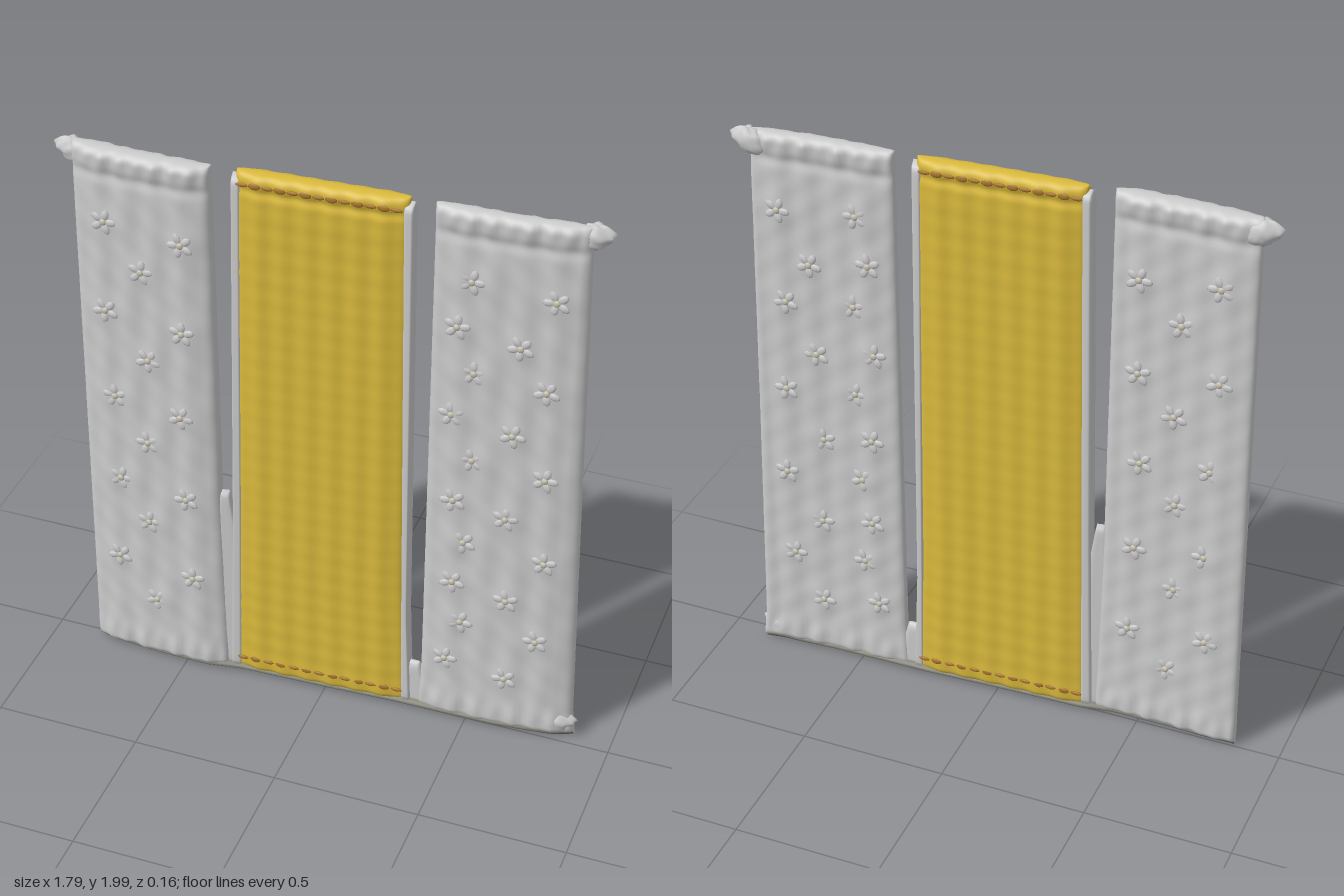
import * as THREE from 'three';
import { mergeVertices, mergeGeometries } from 'three/addons/utils/BufferGeometryUtils.js';

const GREY = 0xcccccc, GOLD = 0xd9b93c, BRONZE = 0xa8752c, DARK = 0x77776a, CREAM = 0xc9c2ac;
const mat = (color) => new THREE.MeshStandardMaterial({ color });
const lerp = THREE.MathUtils.lerp;
const bell = (d, s) => Math.exp(-(d * d) / (s * s));

// Piecewise-linear lookup through [position, value] pairs
function along(pts, p) {
  for (let i = 1; i < pts.length; i++) {
    if (p <= pts[i][0] || i === pts.length - 1) {
      const [a, va] = pts[i - 1], [b, vb] = pts[i];
      return lerp(va, vb, THREE.MathUtils.clamp((p - a) / (b - a), 0, 1));
    }
  }
}

// The row of hangings bends gently in plan
const midZ = (x) => along([[-0.9, 0], [-0.82, 0.015], [-0.62, 0.028], [-0.42, 0.03], [-0.3, 0.01],
  [0, 0.0], [0.25, -0.012], [0.6, -0.016], [0.8, -0.032], [0.9, -0.06]], x);

// Point on a padded cloth; u, v run 0..1, side is +1 front or -1 back
function surface(p, u, v, side) {
  const y = lerp(p.y0, p.y1, v);
  const x = lerp(along(p.left, y), along(p.right, y), u);
  const a = Math.abs(2 * u - 1);
  const endY = Math.min(y - p.y0, p.y1 - y);
  const round = Math.sqrt(Math.max(0, 1 - a ** 8)) * Math.sqrt(1 - Math.max(0, 1 - endY / 0.03) ** 2);
  const relief = p.relief ? p.relief(x, y, u) : 0;
  return new THREE.Vector3(x, y, midZ(x) + side * round * (p.half + relief));
}

// Closed cloth from a front and a back sheet that meet along their rims
function cloth(p, nx, ny) {
  const pos = [], idx = [];
  const ease = (t) => lerp(t, 0.5 - 0.5 * Math.cos(Math.PI * t), 0.75);
  for (const side of [1, -1]) {
    const base = pos.length / 3;
    for (let j = 0; j <= ny; j++) for (let i = 0; i <= nx; i++) {
      pos.push(...surface(p, ease(i / nx), ease(j / ny), side).toArray());
    }
    for (let j = 0; j < ny; j++) for (let i = 0; i < nx; i++) {
      const a = base + j * (nx + 1) + i, b = a + 1, c = b + nx + 1, d = a + nx + 1;
      if (side > 0) idx.push(a, b, c, a, c, d);
      else idx.push(a, c, b, a, d, c);
    }
  }
  let g = new THREE.BufferGeometry();
  g.setAttribute('position', new THREE.Float32BufferAttribute(pos, 3));
  g.setIndex(idx);
  g = mergeVertices(g, 1e-5);
  g.computeVertexNormals();
  return g;
}

function add(parent, name, geometry, color) {
  const m = new THREE.Mesh(geometry, mat(color));
  m.name = name;
  parent.add(m);
  return m;
}

// Staggered flower sites: alternating rows of the two given column sets
function sites(columns) {
  const out = [];
  for (let r = 0; r < 10; r++) {
    const y = 1.73 - r * 0.165;
    for (const x of columns[r % 2]) out.push([x + 0.012 * Math.sin(r * 2.3 + x * 9), y + 0.02 * Math.sin(x * 17)]);
  }
  return out;
}

// Low raised flowers on both faces of a panel
function flowers(parent, p) {
  const petals = [], hearts = [];
  p.sites.forEach(([x, y], k) => {
    const l = along(p.left, y), r = along(p.right, y);
    for (const side of [1, -1]) {
      const c = surface(p, (x - l) / (r - l), (y - p.y0) / (p.y1 - p.y0), side);
      for (let i = 0; i < 5; i++) {
        const t = (i / 5) * Math.PI * 2 + k * 0.7;
        const g = new THREE.SphereGeometry(1, 8, 5);
        g.scale(0.02, 0.013, 0.006).rotateZ(t);
        petals.push(g.translate(c.x + 0.026 * Math.cos(t), c.y + 0.026 * Math.sin(t), c.z - side * 0.002));
      }
      hearts.push(new THREE.SphereGeometry(1, 8, 5).scale(0.012, 0.012, 0.007).translate(c.x, c.y, c.z));
    }
  });
  add(parent, 'flowerPetals', mergeGeometries(petals), GREY);
  add(parent, 'flowerHearts', mergeGeometries(hearts), CREAM);
}

// Side panel: soft folds, a gathered header and swellings beneath the flowers
function sidePanel(name, p) {
  const group = new THREE.Group();
  group.name = name;
  p.y0 = 0.01;
  p.y1 = 1.99;
  p.relief = (x, y, u) => {
    let d = 0.003 * Math.cos(u * Math.PI * 10) + 0.0018 * Math.sin(x * 47 + y * 21) * Math.sin(y * 39);
    for (const [fx, fy] of p.sites) d += 0.006 * bell(Math.hypot(x - fx, y - fy), 0.05);
    const gather = bell(y - 1.96, 0.04) + bell(y - 0.06, 0.05);
    return d + gather * (0.004 + 0.005 * Math.cos(u * Math.PI * 16)) - 0.006 * bell(y - 1.9, 0.02);
  };
  add(group, 'panelCloth', cloth(p, 48, 150), GREY);
  flowers(group, p);
  return group;
}

// Crumpled ear of cloth at an outer top corner
function hemCorner(sign, x, y, z) {
  const g = new THREE.SphereGeometry(1, 20, 14);
  const a = g.attributes.position;
  for (let i = 0; i < a.count; i++) {
    const px = a.getX(i), py = a.getY(i), pz = a.getZ(i);
    const k = 1 + 0.12 * Math.sin(px * 7 + py * 5) * Math.cos(pz * 6);
    const taper = 1 - 0.4 * Math.max(0, px);
    a.setXYZ(i, sign * px * 0.06 * k, py * 0.045 * taper * k + 0.012 * px, pz * 0.032 * taper * k);
  }
  if (sign < 0) g.setIndex(Array.from(g.index.array).reverse());
  g.computeVertexNormals();
  return g.translate(x, y, z);
}

export function createModel() {
  const model = new THREE.Group();
  model.name = 'curtainPanels';

  // Grey flowered panels on either side
  model.add(sidePanel('rightSidePanel', {
    half: 0.037, left: [[0, -0.845], [1, -0.84], [2, -0.835]], right: [[0, -0.345], [0.7, -0.36], [2, -0.368]],
    sites: sites([[-0.72, -0.47], [-0.6]]),
  }));
  model.add(sidePanel('leftSidePanel', {
    half: 0.03, left: [[0, 0.325], [0.2, 0.335], [2, 0.342]], right: [[0, 0.872], [0.1, 0.86], [1, 0.84], [2, 0.822]],
    sites: sites([[0.48, 0.73], [0.43, 0.62]]),
  }));

  // Gold middle panel with ribs and a faint weave
  const middle = new THREE.Group();
  middle.name = 'middlePanel';
  model.add(middle);
  const gold = {
    y0: 0.015, y1: 1.99, half: 0.038,
    left: [[0, -0.32], [0.7, -0.305], [2, -0.288]], right: [[0, 0.29], [0.5, 0.272], [2, 0.265]],
    relief: (x, y, u) => 0.003 * Math.cos(u * Math.PI * 14) + 0.0006 * Math.cos(y * 85)
      - 0.008 * bell(y - 1.93, 0.015),
  };
  add(middle, 'goldCloth', cloth(gold, 64, 150), GOLD);

  // Grey selvages along both edges of the gold cloth
  const strip = (name, y0, y1, left, right, half, color, nx = 10, ny = 40) =>
    add(middle, name, cloth({ y0, y1, left, right, half }, nx, ny), color);
  strip('rightSelvage', 0.01, 1.975, [[0, -0.338], [0.7, -0.322], [2, -0.302]], [[0, -0.30], [2, -0.27]], 0.027, GREY);
  strip('leftSelvage', 0.01, 1.975, [[0, 0.27], [2, 0.245]], [[0, 0.305], [0.4, 0.288], [2, 0.279]], 0.027, GREY);

  // Bronze stitching near the top and bottom hems
  for (const [name, y, w] of [['topStitching', 1.955, 0.25], ['bottomStitching', 0.075, 0.28]]) {
    const stitches = [];
    for (let i = 0; i < 13; i++) {
      const x = lerp(-w - 0.01, w - 0.02, i / 12);
      for (const side of [1, -1]) {
        const g = new THREE.SphereGeometry(1, 8, 6).scale(0.02, 0.007 + 0.004 * (i % 2), 0.005);
        stitches.push(g.translate(x, y, midZ(x) + side * 0.038));
      }
    }
    add(middle, name, mergeGeometries(stitches), BRONZE);
  }

  // Thin webs where neighbouring cloths join low down
  const web = (name, y1, left, right) =>
    add(model, name, cloth({ y0: 0.01, y1, left, right, half: 0.016 }, 8, 24), GREY);
  web('rightWeb', 0.76, [[0, -0.39], [0.66, -0.38], [0.76, -0.365]], [[0, -0.29], [0.6, -0.31], [0.76, -0.335]]);
  web('leftWeb', 0.19, [[0, 0.26], [0.19, 0.27]], [[0, 0.37], [0.12, 0.35], [0.19, 0.33]]);

  // Dark rail under all three panels
  add(model, 'bottomRail', cloth({
    y0: 0, y1: 0.035, left: [[0, -0.84], [1, -0.84]], right: [[0, 0.865], [1, 0.865]], half: 0.036,
  }, 60, 8), DARK);

  // Outer top corners and the lower left corner
  add(model, 'rightHemCorner', hemCorner(-1, -0.835, 1.945, 0.008), GREY);
  add(model, 'leftHemCorner', hemCorner(1, 0.825, 1.95, -0.045), GREY);
  add(model, 'lowerLeftHemCorner', hemCorner(1, 0.815, 0.06, -0.035), GREY);
  return model;
}
